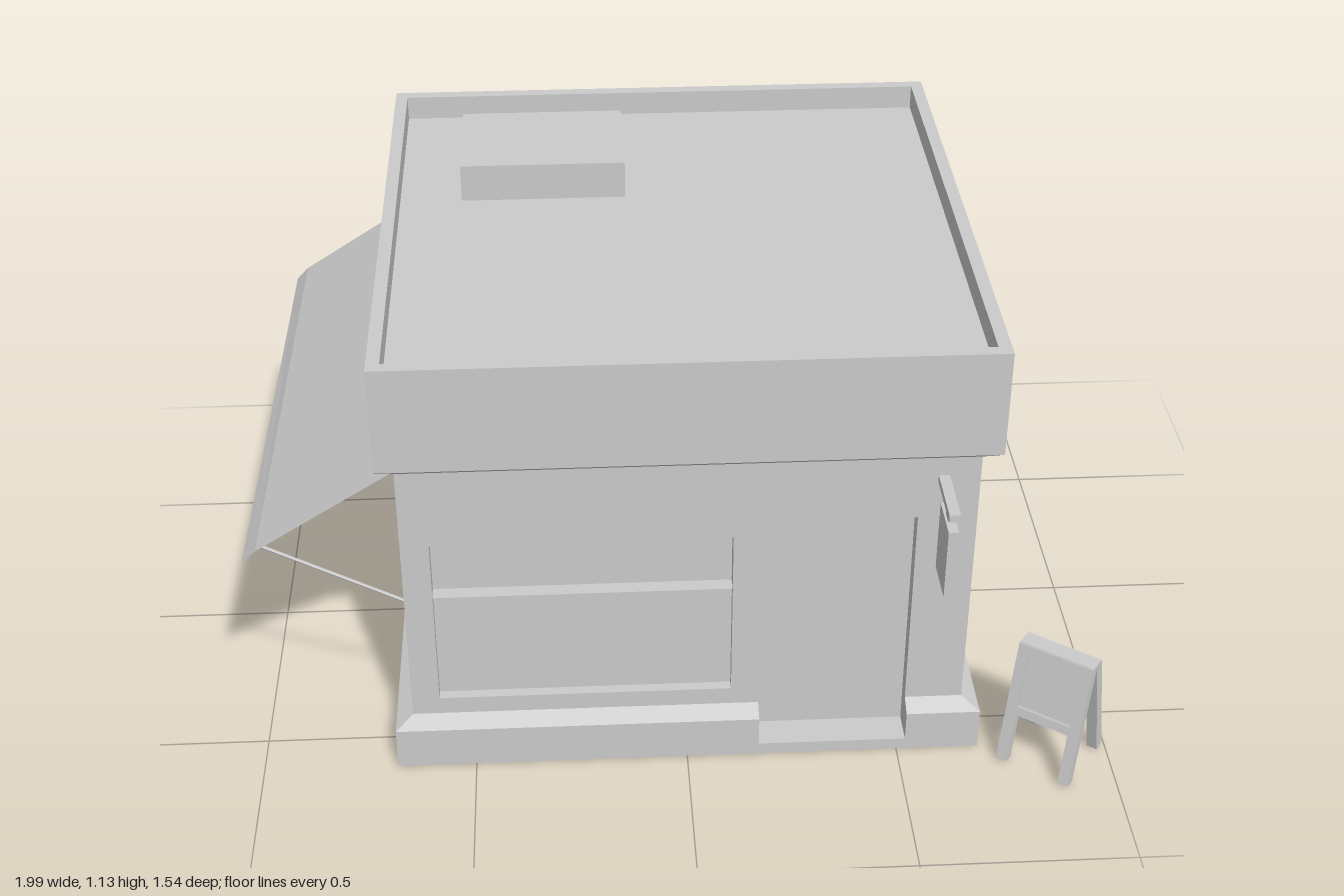
import * as THREE from 'three';

const mat = new THREE.MeshStandardMaterial({ color: 0xcccccc, flatShading: true, side: THREE.DoubleSide });

function add(parent, geo, name, pos = [0, 0, 0]) {
  const m = new THREE.Mesh(geo, mat);
  m.name = name;
  m.position.set(...pos);
  parent.add(m);
  return m;
}

function group(parent, name) {
  const g = new THREE.Group();
  g.name = name;
  parent.add(g);
  return g;
}

// Box given by its min and max corners
function box(parent, name, [x0, y0, z0], [x1, y1, z1]) {
  return add(parent, new THREE.BoxGeometry(x1 - x0, y1 - y0, z1 - z0), name,
    [(x0 + x1) / 2, (y0 + y1) / 2, (z0 + z1) / 2]);
}

// Flat-faced skin over rows of points (columns run right, rows run up)
function loft(rows, closed = false) {
  const out = [];
  for (let i = 0; i + 1 < rows.length; i++) {
    const n = rows[i].length;
    for (let j = 0; j < (closed ? n : n - 1); j++) {
      const k = (j + 1) % n;
      const a = rows[i][j], b = rows[i][k], c = rows[i + 1][k], d = rows[i + 1][j];
      out.push(...a, ...b, ...c, ...a, ...c, ...d);
    }
  }
  const geo = new THREE.BufferGeometry();
  geo.setAttribute('position', new THREE.Float32BufferAttribute(out, 3));
  geo.computeVertexNormals();
  return geo;
}

const square = (h, y) => [[-h, y, h], [h, y, h], [h, y, -h], [-h, y, -h]];
const rect = ([x0, y0, x1, y1], z) => [[x0, y0, z], [x1, y0, z], [x1, y1, z], [x0, y1, z]];

const WALL = 0.65, BASE = 0.69, SILL = 0.125, EAVE = 0.81;

// Opening sunk into a wall: four reveals and a back panel
function recess(parent, name, r, depth) {
  const g = group(parent, name);
  const back = rect(r, WALL - depth);
  add(g, loft([rect(r, WALL), back], true), 'reveal');
  add(g, loft([[back[0], back[1]], [back[3], back[2]]]), 'panel');
}

function wall(parent, name, turn, outline, hole) {
  const g = group(parent, name);
  g.rotation.y = turn;
  const shape = new THREE.Shape(outline.map(p => new THREE.Vector2(...p)));
  if (hole) {
    const [x0, y0, x1, y1] = hole;
    shape.holes.push(new THREE.Path([[x0, y0], [x0, y1], [x1, y1], [x1, y0]].map(p => new THREE.Vector2(...p))));
  }
  add(g, new THREE.ShapeGeometry(shape), 'wallFace', [0, 0, WALL]);
  return g;
}

function buildShop(root) {
  const shop = group(root, 'shop');
  shop.position.set(0.005, 0, -0.085);
  const plain = [[-WALL, SILL], [WALL, SILL], [WALL, EAVE], [-WALL, EAVE]];
  const door = [0.165, 0, 0.515, 0.65];
  const [dl, , dr, dt] = door;

  // Front wall with window and door notch
  const front = wall(shop, 'frontWall', 0,
    [[-WALL, SILL], [dl, SILL], [dl, dt], [dr, dt], [dr, SILL], [WALL, SILL], [WALL, EAVE], [-WALL, EAVE]],
    [-0.585, 0.17, 0.1, 0.61]);
  recess(front, 'windowLowerPane', [-0.585, 0.17, 0.1, 0.465], 0.025);
  recess(front, 'windowUpperPane', [-0.585, 0.465, 0.1, 0.61], 0.035);
  recess(front, 'door', door, 0.04);
  box(front, 'doorStep', [dl, 0, WALL - 0.04], [dr, 0.03, BASE]);

  // Side and back walls; serving window under the awning
  wall(shop, 'rightSideWall', Math.PI / 2, plain);
  wall(shop, 'backWall', Math.PI, plain);
  const hatch = [-0.435, 0.29, 0.465, 0.66];
  recess(wall(shop, 'awningSideWall', -Math.PI / 2, plain, hatch), 'servingWindow', hatch, 0.05);

  // Chamfered plinth, broken at the door
  const run = (h, y) => [[dr, y, h], [h, y, h], [h, y, -h], [-h, y, -h], [-h, y, h], [dl, y, h]];
  add(shop, loft([run(BASE, 0), run(BASE, 0.105), run(WALL, SILL)]), 'plinth');
  for (const x of [dl, dr]) {
    const end = new THREE.Shape([[0, 0], [BASE - WALL, 0], [BASE - WALL, 0.105], [0, SILL]]
      .map(p => new THREE.Vector2(...p)));
    add(shop, new THREE.ShapeGeometry(end), 'plinthEnd', [x, 0, WALL]).rotation.y = -Math.PI / 2;
  }

  // Cornice, parapet and sunken roof
  add(shop, loft([square(WALL, EAVE), square(BASE, 0.84), square(BASE, 1.1),
    square(0.66, 1.1), square(0.66, 1.04)], true), 'cornice');
  const roof = square(0.66, 1.04);
  add(shop, loft([[roof[0], roof[1]], [roof[3], roof[2]]]), 'roof');
}

function rod(parent, name, from, to, radius) {
  const path = new THREE.LineCurve3(new THREE.Vector3(...from), new THREE.Vector3(...to));
  add(parent, new THREE.TubeGeometry(path, 1, radius, 6), name);
}

function buildAwning(root) {
  const g = group(root, 'awning');
  add(g, loft([
    [[-0.985, 0.578, -0.73], [-1, 0.575, 0.55]],
    [[-0.955, 0.61, -0.73], [-0.968, 0.605, 0.555]],
    [[-0.645, 0.81, -0.73], [-0.645, 0.81, 0.555]],
  ]), 'canopy');
  for (const z of [-0.71, 0.535]) rod(g, 'strut', [-0.64, 0.435, z], [-0.958, 0.605, z], 0.004);
}

function buildSign(root) {
  const g = group(root, 'hangingSign');
  box(g, 'arm', [0.56, 0.745, 0.565], [0.585, 0.763, 0.72]);
  box(g, 'hanger', [0.565, 0.72, 0.65], [0.58, 0.745, 0.685]);
  box(g, 'board', [0.56, 0.545, 0.61], [0.583, 0.72, 0.725]);
}

function buildPavementBoard(root) {
  const g = group(root, 'pavementBoard');
  g.position.set(0.862, 0, 0.637);
  g.rotation.y = -0.64;
  const tilt = Math.atan2(0.07, 0.3);
  for (const s of [0, 1]) {
    const half = group(g, s ? 'backHalf' : 'frontHalf');
    half.rotation.y = s * Math.PI;
    const leaf = group(half, 'leaf');
    leaf.position.set(0, 0.305, 0.012);
    leaf.rotation.x = -tilt;
    // Two legs, top and bottom rails, inset panel
    for (const x of [-0.08, 0.08]) box(leaf, 'leg', [x - 0.013, -0.308, -0.013], [x + 0.013, 0, 0.013]);
    box(leaf, 'topRail', [-0.067, -0.022, -0.013], [0.067, 0, 0.013]);
    box(leaf, 'bottomRail', [-0.067, -0.182, -0.013], [0.067, -0.16, 0.013]);
    box(leaf, 'panel', [-0.067, -0.16, -0.013], [0.067, -0.022, 0.003]);
  }
  box(g, 'ridge', [-0.093, 0.295, -0.02], [0.093, 0.308, 0.02]);
}

export function createModel() {
  const root = new THREE.Group();
  root.name = 'cornerShop';
  buildShop(root);
  box(root, 'roofVent', [-0.505, 1.04, -0.57], [-0.105, 1.133, -0.275]);
  buildAwning(root);
  buildSign(root);
  buildPavementBoard(root);
  return root;
}
